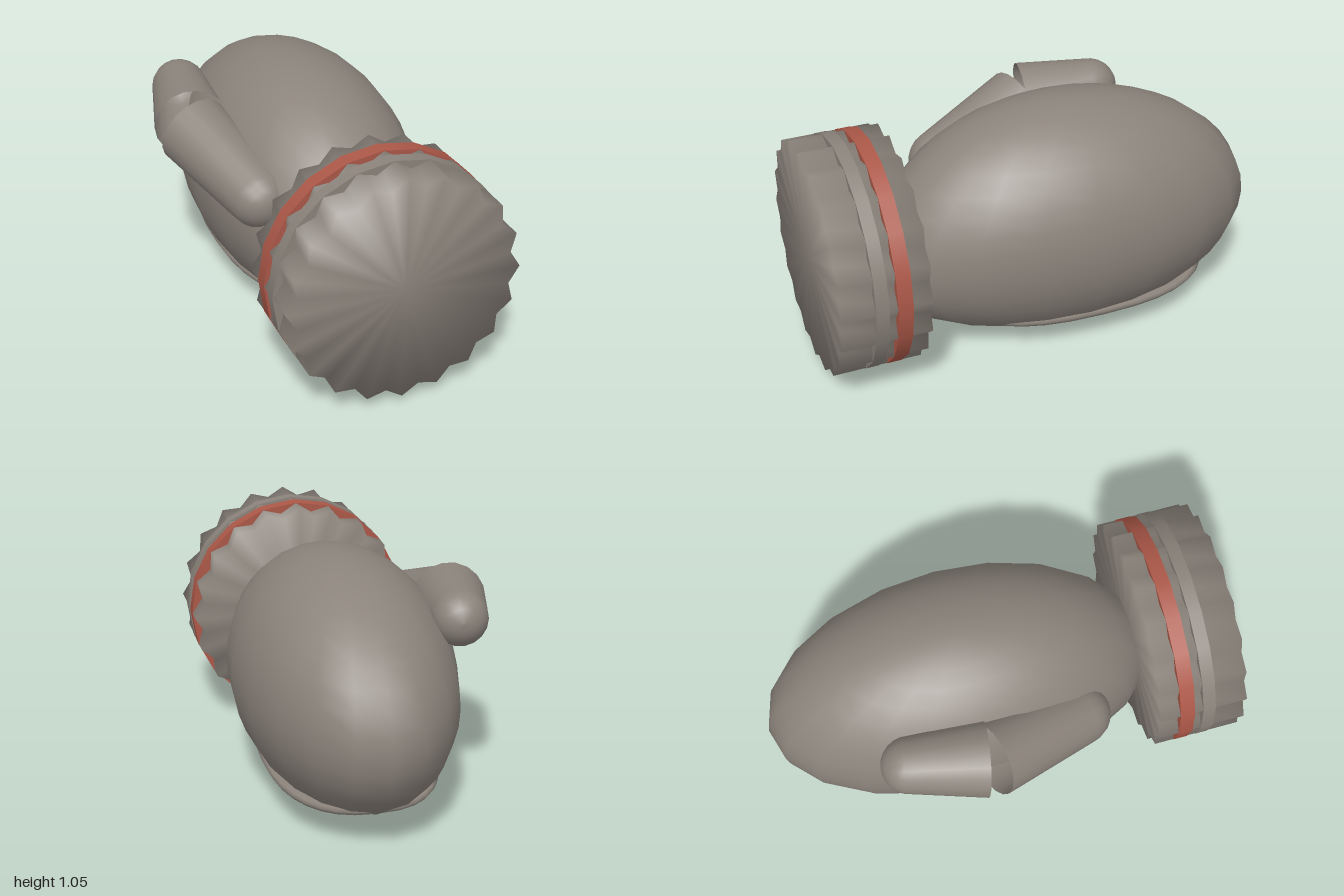
import * as THREE from 'three';
import { mergeVertices } from 'three/addons/utils/BufferGeometryUtils.js';

const CX = 0.065; // the body and cap sit slightly to one side, balancing the handle

export function createModel() {
  const model = new THREE.Group();
  const grey = new THREE.MeshStandardMaterial({ color: 0x8b837b, side: THREE.DoubleSide });
  grey.name = 'warm grey';
  const red = new THREE.MeshStandardMaterial({ color: 0xac5848 });
  red.name = 'brick red';

  const add = (name, geometry, material = grey) => {
    const mesh = new THREE.Mesh(geometry, material);
    mesh.name = name;
    model.add(mesh);
    return mesh;
  };

  // Apply a rule to every vertex
  const warp = (geometry, rule) => {
    const p = geometry.attributes.position;
    const v = new THREE.Vector3();
    for (let i = 0; i < p.count; i++) {
      v.fromBufferAttribute(p, i);
      rule(v);
      p.setXYZ(i, v.x, v.y, v.z);
    }
    return geometry;
  };

  // Share vertices so the shading runs smoothly over the edges
  const smooth = (geometry) => {
    geometry.deleteAttribute('uv');
    geometry.deleteAttribute('normal');
    const merged = mergeVertices(geometry, 1e-4);
    merged.computeVertexNormals();
    return merged;
  };

  // Egg-shaped body, its front end drooping a little
  add('body', smooth(warp(new THREE.SphereGeometry(1, 20, 20), (v) => {
    const droop = v.z > 0 ? 0.1 * v.z ** 3 : 0.04 * -(v.z ** 2);
    v.set(CX + v.x * 0.467, 0.525 + v.y * 0.525 - Math.abs(droop), -0.14 + v.z * 0.86);
  })));

  // Shallow oval foot under the body: flat on top, bowl-shaped below
  const power = (a, e) => Math.sign(a) * Math.abs(a) ** e;
  add('foot', smooth(warp(new THREE.SphereGeometry(1, 32, 12), (v) => {
    const r = Math.hypot(v.x, v.z) || 1;
    const x = r * power(v.x / r, 0.8);
    const z = r * power(v.z / r, 0.8);
    v.set(CX + x * 0.362, 0.17 + v.y * (v.y > 0 ? 0.018 : 0.085), -0.2 + z * 0.59);
  })));

  // Fluted cap with twenty teeth
  const TEETH = 20;
  const drum = (radius, segments, z0, z1) =>
    new THREE.CylinderGeometry(radius, radius, z1 - z0, segments)
      .rotateX(Math.PI / 2).translate(0, 0, (z0 + z1) / 2);
  const fluted = warp(drum(0.5, TEETH * 2, 0.62, 1), (v) => {
    const step = Math.round(Math.atan2(v.y, v.x) / (Math.PI / TEETH));
    if (Math.abs(step) % 2 === 1) { v.x *= 0.92; v.y *= 0.92; }
  });
  add('cap', smooth(fluted)).position.set(CX, 0.53, 0);

  // Bands around the cap
  add('redBand', drum(0.502, TEETH, 0.705, 0.768), red).position.set(CX, 0.53, 0);
  add('greyBand', drum(0.502, TEETH, 0.805, 0.86)).position.set(CX, 0.53, 0);

  // Bent handle: two round-ended, open tubes that meet at the elbow
  const tube = (name, elbow, tip, elbowRadius, tipRadius) => {
    const axis = tip.clone().sub(elbow);
    const length = axis.length();
    const profile = [
      new THREE.Vector2(elbowRadius, 0),
      new THREE.Vector2((elbowRadius + tipRadius) / 2, length / 2),
    ];
    for (let i = 0; i <= 6; i++) {
      const a = (i / 6) * Math.PI / 2;
      profile.push(new THREE.Vector2(tipRadius * Math.cos(a), length + tipRadius * Math.sin(a)));
    }
    const mesh = add(name, new THREE.LatheGeometry(profile, 18));
    mesh.position.copy(elbow);
    mesh.quaternion.setFromUnitVectors(new THREE.Vector3(0, 1, 0), axis.normalize());
  };
  tube('handleRear', new THREE.Vector3(-0.41, 0.81, -0.15),
    new THREE.Vector3(-0.36, 0.84, -0.46), 0.16, 0.12);
  tube('handleFront', new THREE.Vector3(-0.41, 0.79, -0.13),
    new THREE.Vector3(-0.28, 0.66, 0.3), 0.16, 0.13);

  return model;
}
